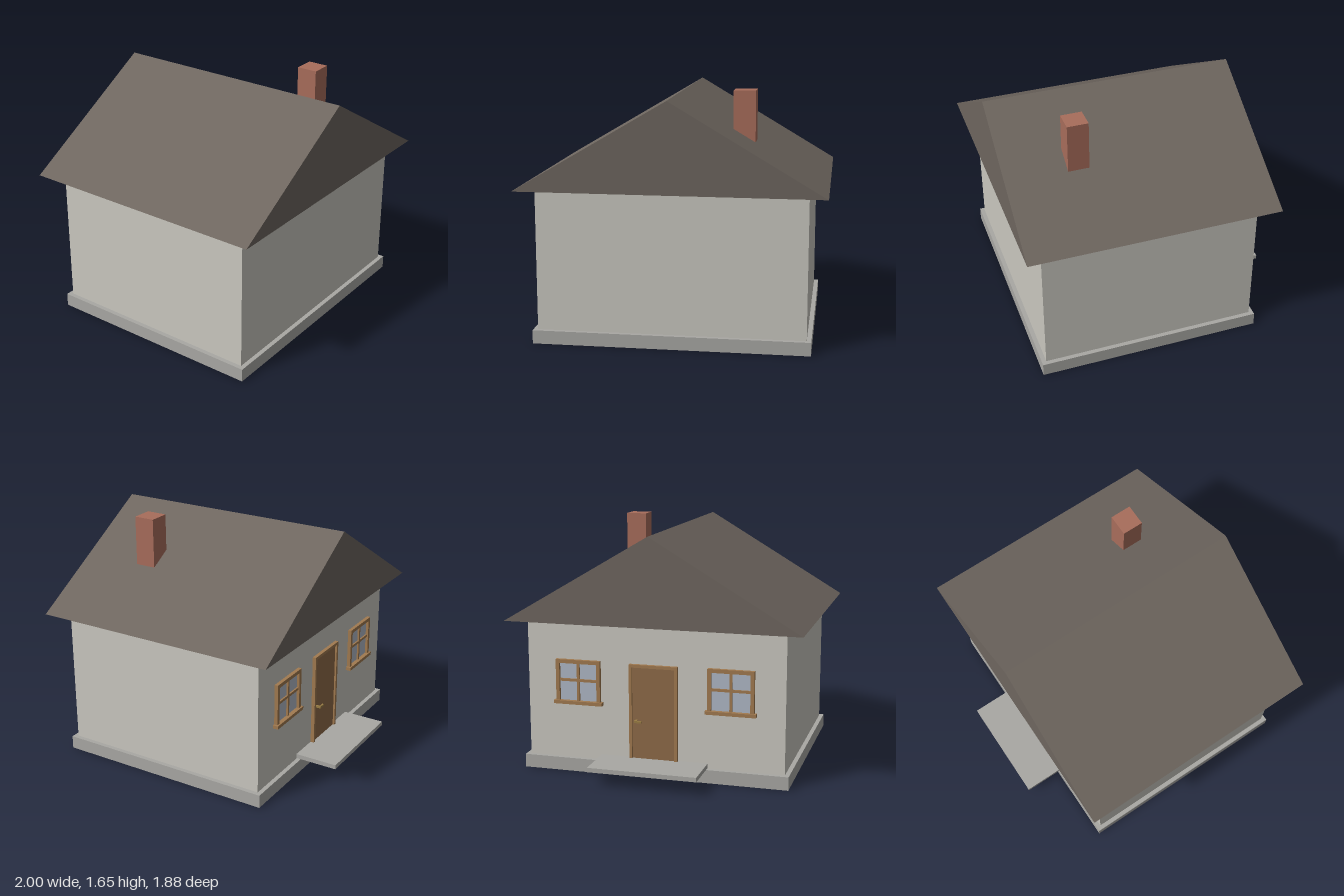
import * as THREE from 'three';

const mat = (color) => new THREE.MeshStandardMaterial({ color });
const mats = {
  wall: mat(0xcac8c0), stone: mat(0xa9a8a4), roof: mat(0x6e665f), brick: mat(0xa86d5b),
  frame: mat(0xa17a50), door: mat(0x8f6b48), glass: mat(0xb0b9c6), metal: mat(0x9a7d45),
};

// Box given by its lower and upper limits on each axis
function box(name, material, [x0, x1], [y0, y1], [z0, z1]) {
  const mesh = new THREE.Mesh(new THREE.BoxGeometry(x1 - x0, y1 - y0, z1 - z0), material);
  mesh.position.set((x0 + x1) / 2, (y0 + y1) / 2, (z0 + z1) / 2);
  mesh.name = name;
  return mesh;
}

const WALL_Z = -0.645; // face of the entrance wall
const out = (depth, inner = 0) => [WALL_Z - depth, WALL_Z - inner];

// Four-pane window with a frame, cross bars and a sill
function makeWindow(name, cx) {
  const g = new THREE.Group();
  g.name = name;
  const w = 0.155, t = 0.025, y0 = 0.49, y1 = 0.77, my = (y0 + y1) / 2;
  g.add(box('glass', mats.glass, [-w + t, w - t], [y0, y1 - t], out(0.006)));
  for (const s of [-1, 1]) {
    const x = s * (w - t / 2);
    g.add(box('sideFrame', mats.frame, [x - t / 2, x + t / 2], [y0, y1], out(0.025)));
  }
  g.add(box('topFrame', mats.frame, [-w + t, w - t], [y1 - t, y1], out(0.025)));
  g.add(box('verticalBar', mats.frame, [-0.009, 0.009], [y0, y1 - t], out(0.018)));
  g.add(box('horizontalBar', mats.frame, [-w + t, w - t], [my - 0.009, my + 0.009], out(0.017)));
  g.add(box('sill', mats.frame, [-0.17, 0.17], [0.467, y0], out(0.036)));
  g.position.x = cx;
  return g;
}

// Door leaf, surrounding frame and lever handle
function makeDoor() {
  const g = new THREE.Group();
  g.name = 'door';
  const w = 0.165, t = 0.02, y0 = 0.125, y1 = 0.765;
  g.add(box('doorLeaf', mats.door, [-w + t, w - t], [y0, y1 - t], out(0.012)));
  for (const s of [-1, 1]) {
    const x = s * (w - t / 2);
    g.add(box('doorPost', mats.frame, [x - t / 2, x + t / 2], [y0, y1], out(0.025)));
  }
  g.add(box('doorHead', mats.frame, [-w + t, w - t], [y1 - t, y1], out(0.025)));
  g.add(box('handleStem', mats.metal, [0.11, 0.124], [0.376, 0.39], out(0.036, 0.012)));
  g.add(box('handleLever', mats.metal, [0.075, 0.124], [0.376, 0.39], out(0.048, 0.036)));
  return g;
}

// Solid gable roof
function makeRoof() {
  const shape = new THREE.Shape([[-1, 1.03], [1, 1.03], [0, 1.62]].map((p) => new THREE.Vector2(...p)));
  const geo = new THREE.ExtrudeGeometry(shape, { depth: 1.705, bevelEnabled: false });
  geo.translate(0, 0, -0.765);
  const roof = new THREE.Mesh(geo, mats.roof);
  roof.name = 'roof';
  return roof;
}

export function createModel() {
  const house = new THREE.Group();
  house.name = 'house';
  house.add(
    box('foundation', mats.stone, [-0.91, 0.91], [0, 0.09], [-0.675, 0.855]),
    box('walls', mats.wall, [-0.88, 0.88], [0.09, 1.03], [WALL_Z, 0.825]),
    makeRoof(),
    box('chimney', mats.brick, [0.37, 0.515], [1.2, 1.65], [0.385, 0.527]),
    box('doorstep', mats.stone, [-0.367, 0.367], [0.095, 0.125], [-0.94, WALL_Z]),
    makeDoor(),
    makeWindow('leftWindow', 0.522),
    makeWindow('rightWindow', -0.522),
  );
  return house;
}
